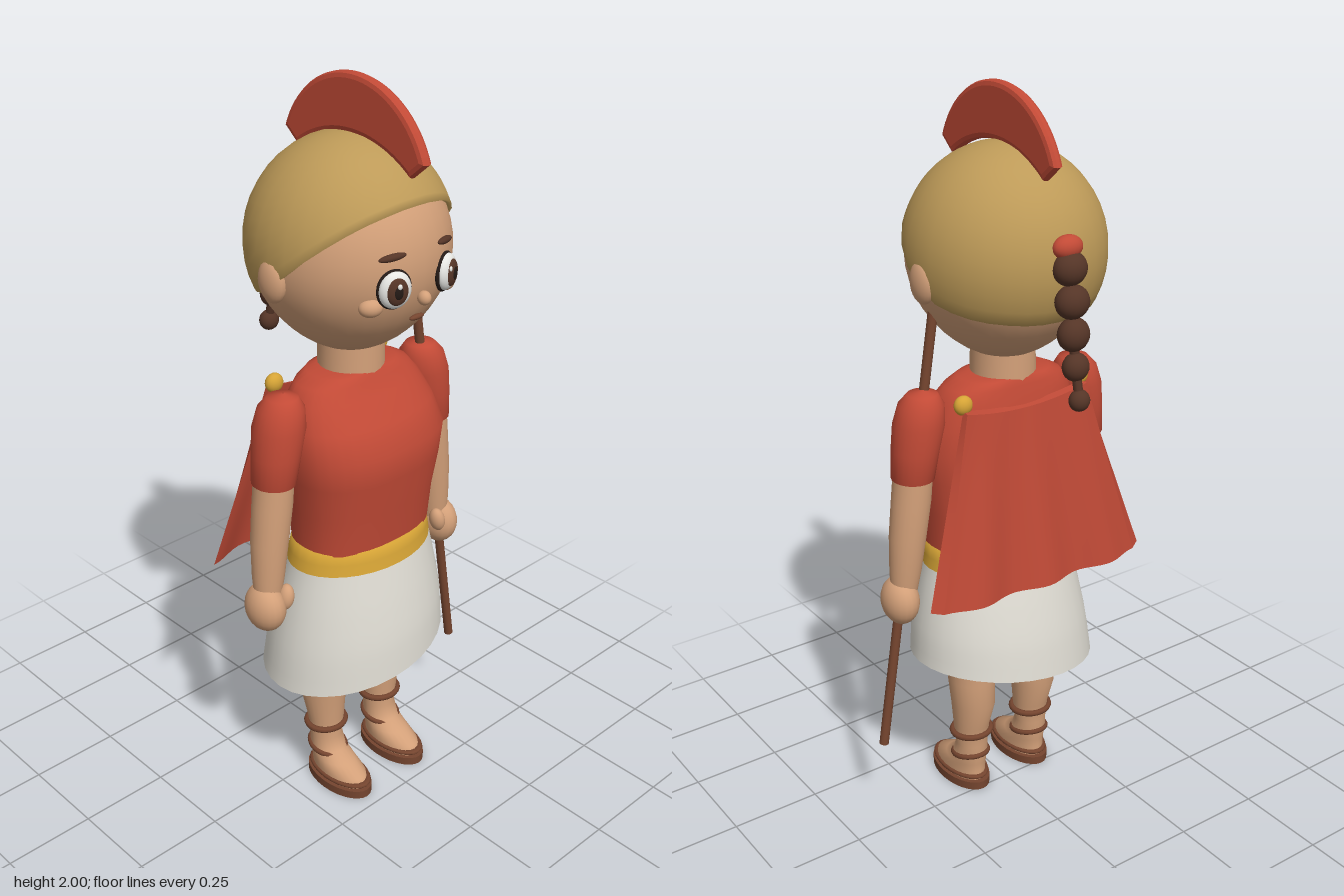
import * as THREE from 'three';

const mat = (name, color, side = THREE.FrontSide) => {
  const m = new THREE.MeshStandardMaterial({ color, side });
  m.name = name;
  return m;
};
const MID = -0.016; // the figure's own centre line

// Smooth surface from rows of points; rows run upward, columns run around
function grid(nu, nv, wrap, point) {
  const pos = [], idx = [], cols = wrap ? nu : nu + 1;
  for (let j = 0; j <= nv; j++)
    for (let i = 0; i < cols; i++) pos.push(...point(i / nu, j / nv, j));
  for (let j = 0; j < nv; j++)
    for (let i = 0; i < nu; i++) {
      const a = j * cols + i, b = j * cols + (i + 1) % cols;
      idx.push(a, b, b + cols, a, b + cols, a + cols);
    }
  const g = new THREE.BufferGeometry();
  g.setAttribute('position', new THREE.Float32BufferAttribute(pos, 3));
  g.setIndex(idx);
  g.computeVertexNormals();
  return g;
}

// Stacked ellipses, bottom to top: [y, rx, rz, cx, cz]; e below 1 squares them
function loft(sections, e = 1, seg = 24) {
  const pw = (v) => Math.sign(v) * Math.abs(v) ** e;
  return grid(seg, sections.length - 1, true, (u, v, j) => {
    const [y, rx, rz, cx, cz] = sections[j], a = u * Math.PI * 2;
    return [cx + rx * pw(Math.sin(a)), y, cz + rz * pw(Math.cos(a))];
  });
}

// Piecewise linear lookup in [[x, y], ...]
function lookup(pts, x) {
  let k = 0;
  while (k < pts.length - 2 && x > pts[k + 1][0]) k++;
  const [[x0, y0], [x1, y1]] = [pts[k], pts[k + 1]];
  return y0 + (y1 - y0) * (x - x0) / (x1 - x0);
}

export function createModel() {
  const root = new THREE.Group();
  const skin = mat('skin', 0xd3a079);
  const red = mat('red cloth', 0xc24a36);
  const capeRed = mat('red cape', 0xbc4835, THREE.DoubleSide);
  const bronze = mat('helmet bronze', 0xbd9a58);
  const linen = mat('white linen', 0xdedbd2, THREE.DoubleSide);
  const gold = mat('gold', 0xd6a436);
  const leather = mat('brown leather', 0x75452f);
  const hair = mat('dark hair', 0x553527);
  const white = mat('eye white', 0xeeeeea);
  const black = mat('pupil', 0x241a16);

  const add = (name, geo, material) => {
    const m = new THREE.Mesh(geo, material);
    m.name = name;
    root.add(m);
    return m;
  };
  const ball = (name, material, [x, y, z], [rx, ry, rz], ry0 = 0, rz0 = 0) => {
    const m = add(name, new THREE.SphereGeometry(1, 20, 14), material);
    m.position.set(x, y, z);
    m.scale.set(rx, ry, rz);
    m.rotation.set(0, ry0, rz0);
    return m;
  };
  const ring = (name, material, [x, y, z], rx, rz, tube, tilt = 0) => {
    const g = new THREE.TorusGeometry(1, tube / rx, 8, 24);
    g.rotateX(Math.PI / 2).scale(rx, rx, rz).rotateX(tilt);
    add(name, g, material).position.set(x, y, z);
  };

  // Head, narrowing toward the chin
  const head = new THREE.SphereGeometry(1, 32, 24), p = head.attributes.position;
  for (let i = 0; i < p.count; i++) {
    const y = p.getY(i), n = y < 0 ? 1 - 0.13 * y * y : 1;
    p.setXYZ(i, p.getX(i) * 0.25 * n, y * 0.267, p.getZ(i) * 0.255 * n);
  }
  head.computeVertexNormals();
  add('head', head, skin).position.set(MID, 1.577, 0.03);
  add('neck', loft([[1.22, 0.088, 0.088, MID, 0.035], [1.36, 0.085, 0.085, MID, 0.035]]), skin);

  // Face
  ball('nose', skin, [MID, 1.51, 0.285], [0.016, 0.018, 0.018]);
  ball('mouth', leather, [MID, 1.455, 0.262], [0.024, 0.007, 0.008]);
  for (const s of [-1, 1]) {
    const x = MID + s * 0.085, turn = s * 0.34;
    const out = (d) => [x + Math.sin(turn) * d, 1.55, 0.268 + Math.cos(turn) * d];
    ball('eyeRim', black, out(0), [0.046, 0.05, 0.014], turn);
    ball('eyeWhite', white, out(0.005), [0.042, 0.046, 0.022], turn);
    ball('iris', hair, out(0.019), [0.028, 0.034, 0.011], turn);
    ball('pupil', black, out(0.026), [0.013, 0.018, 0.006], turn);
    ball('eyeGlint', white, [x - 0.008, 1.565, out(0.03)[2]], [0.006, 0.007, 0.004], turn);
    ball('eyebrow', hair, [x + s * 0.002, 1.627, 0.264], [0.036, 0.009, 0.01], turn, -s * 0.1);
    ball('cheek', skin, [MID + s * 0.128, 1.505, 0.235], [0.03, 0.023, 0.022], s * 0.5);
    ball('ear', skin, [MID + s * 0.247, 1.545, 0.025], [0.026, 0.056, 0.044]);
  }

  // Helmet dome with a rim sloping from brow to nape and a turned-in lip
  const rim = [[-0.25, 1.445], [-0.1, 1.475], [-0.02, 1.5], [0.07, 1.565], [0.26, 1.735], [0.3, 1.77]];
  const dome = (a, t) => {
    const r = 0.262 * Math.sin(t);
    return [r * Math.sin(a), 0.27 * Math.cos(t), r * Math.cos(a)];
  };
  add('helmet', grid(32, 15, true, (u, v, j) => {
    const a = u * Math.PI * 2;
    let end = 0.3;
    while (end < 2.4) {
      const q = dome(a, end);
      if (1.59 + q[1] < lookup(rim, 0.028 + q[2])) break;
      end += 0.005;
    }
    const k = j === 0 ? 0.94 : 1, t = end * (1 - Math.max(j - 1, 0) / 14 * 0.9999);
    const [x, y, z] = dome(a, t);
    return [MID + x * k, 1.59 + y, 0.028 + z * k];
  }), bronze);

  // Crest
  const arc = new THREE.Shape();
  arc.absarc(0.048, 1.746, 0.254, 0.34, Math.PI - 0.34, false);
  arc.absarc(0.048, 1.547, 0.31, Math.PI - 0.903, 0.903, true);
  const crest = new THREE.ExtrudeGeometry(arc, {
    depth: 0.01, bevelThickness: 0.011, bevelSize: 0.014, bevelOffset: -0.014, bevelSegments: 2, curveSegments: 16,
  });
  crest.translate(0, 0, -0.005).rotateY(-Math.PI / 2);
  add('crest', crest, red).position.x = MID;

  // Braid
  ball('braidTie', red, [MID, 1.65, -0.228], [0.042, 0.03, 0.028]);
  const beads = [[1.6, -0.238, 0.046], [1.52, -0.25, 0.046], [1.44, -0.257, 0.043], [1.36, -0.268, 0.036], [1.278, -0.285, 0.028]];
  for (const [y, z, r] of beads) ball('braidBead', hair, [MID, y, z], [r, Math.min(r, 0.043), r * 0.75 + 0.004]);
  const strand = new THREE.CatmullRomCurve3(beads.map(([y, z]) => new THREE.Vector3(MID, y, z)));
  add('braidStrand', new THREE.TubeGeometry(strand, 12, 0.012, 8), hair);

  // Tunic
  add('tunic', loft([
    [0.79, 0.204, 0.136, -0.004, 0.06], [0.9, 0.21, 0.147, -0.005, 0.062], [1.0, 0.226, 0.155, -0.008, 0.07],
    [1.08, 0.236, 0.158, -0.01, 0.074], [1.15, 0.222, 0.135, -0.014, 0.06], [1.21, 0.198, 0.107, MID, 0.043],
    [1.245, 0.17, 0.092, MID, 0.037], [1.263, 0.13, 0.086, MID, 0.035], [1.268, 0.08, 0.08, MID, 0.035],
  ], 0.85, 32), red);

  // Belt and skirt with a slanting hem
  add('belt', loft([[0.735, 0.221, 0.156, -0.008, 0.058], [0.765, 0.216, 0.15, -0.007, 0.058],
    [0.797, 0.211, 0.145, -0.005, 0.059], [0.799, 0.19, 0.125, -0.005, 0.059]], 1, 32), gold);
  add('skirt', grid(32, 8, true, (u, v) => {
    const a = u * Math.PI * 2, k = (list) => lookup(list, v);
    const x = -0.017 + v * 0.009 + Math.sin(a) * k([[0, 0.274], [0.33, 0.264], [0.67, 0.244], [1, 0.221]]);
    const z = 0.045 + v * 0.013 + Math.cos(a) * k([[0, 0.22], [0.33, 0.208], [0.67, 0.184], [1, 0.156]]);
    const hem = 0.425 + 0.147 * x;
    return [x, hem + (0.735 - hem) * v, z];
  }), linen);

  for (const s of [-1, 1]) {
    const at = (rows) => rows.map(([y, rx, rz, dx, cz]) => [y, rx, rz, MID + s * dx, cz]);

    // Arm
    add('sleeve', loft(at([
      [1.02, 0.035, 0.04, 0.278, 0.047], [1.022, 0.056, 0.06, 0.278, 0.047], [1.1, 0.063, 0.065, 0.268, 0.047],
      [1.17, 0.068, 0.069, 0.256, 0.046], [1.22, 0.06, 0.06, 0.248, 0.046], [1.247, 0.04, 0.04, 0.243, 0.046],
      [1.256, 0.002, 0.002, 0.24, 0.046],
    ])), red);
    add('forearm', loft(at([
      [0.7, 0.036, 0.036, 0.312, 0.052], [0.76, 0.043, 0.043, 0.307, 0.05], [0.86, 0.05, 0.05, 0.298, 0.048],
      [0.96, 0.053, 0.053, 0.285, 0.047], [1.04, 0.052, 0.053, 0.277, 0.047],
    ])), skin);
    ball('hand', skin, [MID + s * 0.324, 0.672, 0.055], [0.049, 0.068, 0.062]);
    ball('thumb', skin, [MID + s * 0.284, 0.7, 0.09], [0.021, 0.036, 0.024], 0, s * 0.2);

    // Leg and foot
    add('leg', loft(at([
      [0.02, 0.052, 0.1, 0.105, 0.103], [0.05, 0.054, 0.095, 0.105, 0.1], [0.075, 0.051, 0.07, 0.105, 0.075],
      [0.1, 0.048, 0.053, 0.105, 0.053], [0.14, 0.046, 0.045, 0.105, 0.045], [0.2, 0.052, 0.05, 0.105, 0.045],
      [0.28, 0.062, 0.065, 0.105, 0.035], [0.36, 0.067, 0.068, 0.105, 0.042], [0.45, 0.07, 0.075, 0.105, 0.045],
      [0.62, 0.082, 0.088, 0.105, 0.05], [0.66, 0.01, 0.01, 0.105, 0.05],
    ])), skin);

    // Sandal
    const x = MID + s * 0.105;
    const sole = new THREE.CylinderGeometry(1, 1, 0.024, 28).scale(0.063, 1, 0.114);
    add('sole', sole, leather).position.set(x, 0.012, 0.102);
    ring('soleStrap', leather, [x, 0.036, 0.103], 0.055, 0.1, 0.006);
    ring('heelStrap', leather, [x, 0.1, 0.052], 0.048, 0.053, 0.008, 0.2);
    ring('ankleStrap', leather, [x, 0.18, 0.045], 0.056, 0.052, 0.009);

    // Cape clasp
    ball('clasp', gold, [MID + s * 0.185, 1.232, -0.052], [0.026, 0.026, 0.02]);
  }

  // Cape: a pleated closed sheet, widening and falling away from the back
  const capePoint = (u, v, back) => {
    const w = 1 - v, c = u * 2 - 1;
    const pleat = 0.012 * w * Math.cos(c * Math.PI * 3);
    const z = -0.06 - 0.092 * w - pleat + 0.012 * w * c * c - (back ? 0.018 : 0);
    const y = 1.222 - 0.5 * w - 0.022 * v * (1 - c * c) - (back ? 0.006 : 0);
    return [MID + c * (0.19 + 0.155 * w - (back ? 0.03 * w : 0)), y, z];
  };
  add('capeFront', grid(32, 10, false, (u, v) => capePoint(u, v, false)), capeRed);
  add('capeBack', grid(32, 10, false, (u, v) => capePoint(1 - u, v, true)), capeRed);
  const border = (name, n, at) => add(name, grid(n, 1, false, (u, v) => capePoint(...at(u), v > 0.5)), capeRed);
  border('capeHem', 32, (u) => [u, 0]);
  border('capeTop', 32, (u) => [u, 1]);
  border('capeSide', 10, (u) => [0, u]);
  border('capeSide', 10, (u) => [1, u]);

  // Staff held in the left hand
  const top = new THREE.Vector3(0.182, 1.475, 0.053), foot = new THREE.Vector3(0.377, 0.24, 0.053);
  const staff = add('staff', new THREE.CylinderGeometry(0.013, 0.013, top.distanceTo(foot), 12), leather);
  staff.position.copy(top).lerp(foot, 0.5);
  staff.quaternion.setFromUnitVectors(new THREE.Vector3(0, 1, 0), top.clone().sub(foot).normalize());

  return root;
}
